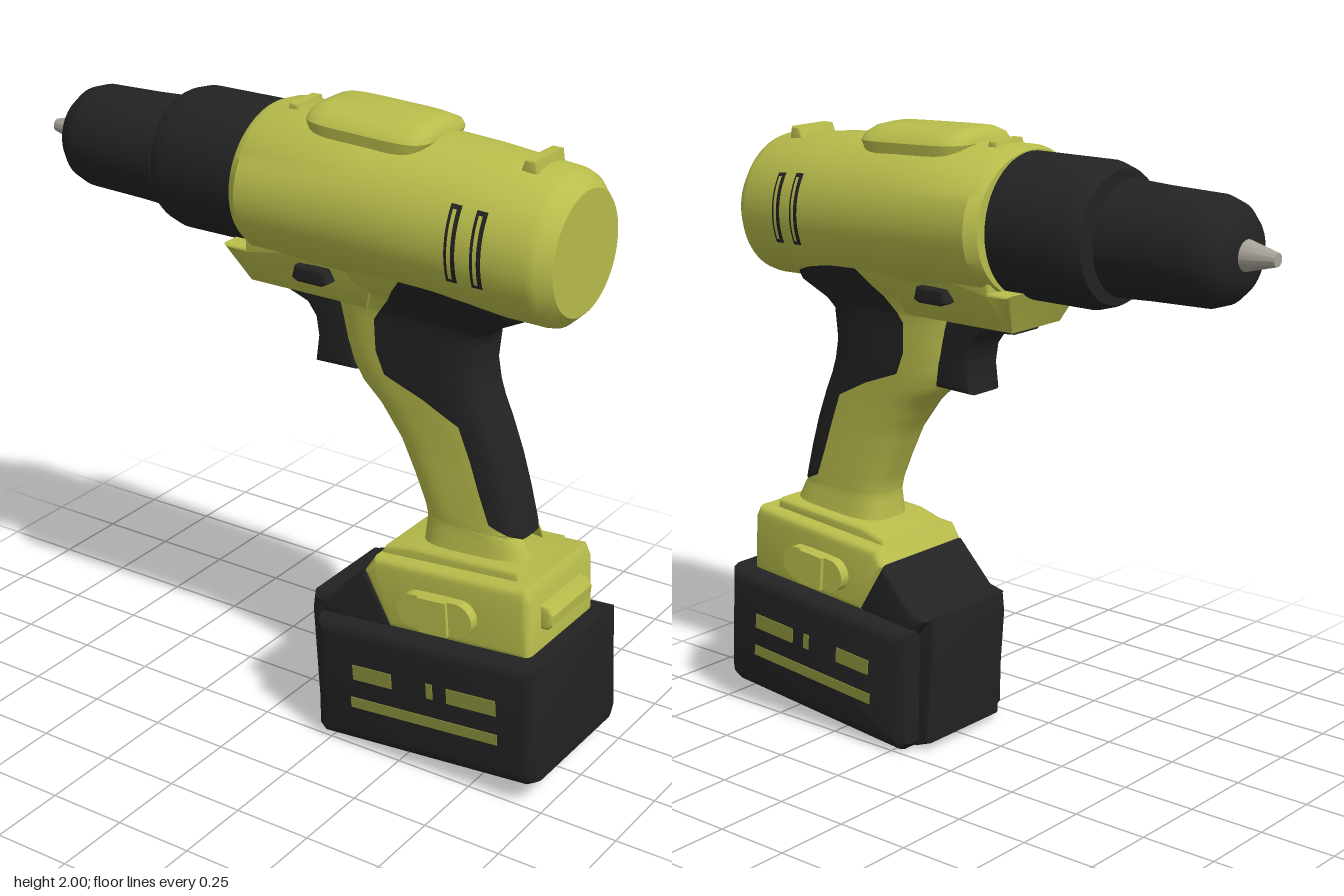
import * as THREE from 'three';
import { toCreasedNormals } from 'three/addons/utils/BufferGeometryUtils.js';

const paint = (name, color) => {
  const m = new THREE.MeshStandardMaterial({ color, side: THREE.DoubleSide });
  m.name = name;
  return m;
};

export function createModel() {
  const group = new THREE.Group();
  const lime = paint('lime shell', 0xb9bd4b);
  const black = paint('black rubber', 0x232323);
  const steel = paint('steel', 0xa9a49b);
  const olive = paint('olive label', 0x8a903c);

  const add = (name, geo, mat, crease = 0.6) => {
    const mesh = new THREE.Mesh(toCreasedNormals(geo, crease), mat);
    mesh.name = name;
    group.add(mesh);
    return mesh;
  };

  // Skin over a list of equally long rows of points
  const loft = (rows) => {
    const n = rows[0].length, index = [];
    for (let i = 0; i < rows.length - 1; i++) {
      for (let j = 0; j < n - 1; j++) {
        const a = i * n + j, c = a + n;
        index.push(a, c + 1, a + 1, a, c, c + 1);
      }
    }
    const g = new THREE.BufferGeometry();
    g.setAttribute('position', new THREE.Float32BufferAttribute(rows.flat(2), 3));
    g.setIndex(index);
    g.computeVertexNormals();
    return g;
  };

  // Side profile in x, y extruded across z, with bevelled edges
  const slab = (pts, half, bevel) => new THREE.ExtrudeGeometry(
    new THREE.Shape(pts.map(p => new THREE.Vector2(p[0], p[1]))),
    { depth: 2 * (half - bevel), bevelEnabled: true, bevelSize: bevel, bevelThickness: bevel,
      bevelOffset: -bevel, bevelSegments: 3, curveSegments: 12 }
  ).translate(0, 0, bevel - half);

  // Profile of [x, radius] turned about the drill axis
  const turned = (pts) => new THREE.LatheGeometry(pts.map(p => new THREE.Vector2(p[1], p[0])), 48)
    .rotateZ(-Math.PI / 2).translate(0, 1.722, 0);

  const box = (w, h, d, x, y, z, tilt = 0) =>
    new THREE.BoxGeometry(w, h, d).rotateZ(tilt).translate(x, y, z);

  const lookUp = (table, key) => {
    let i = 0;
    while (i < table.length - 2 && key > table[i + 1][0]) i++;
    const a = table[i], b = table[i + 1];
    const t = THREE.MathUtils.clamp((key - a[0]) / (b[0] - a[0]), 0, 1);
    return a.map((v, k) => v + (b[k] - v) * t);
  };
  const power = (v, e) => Math.sign(v) * Math.abs(v) ** e;

  // Chuck, collar and drill tip
  add('drillTip', turned([[-0.99, 0], [-0.99, 0.02], [-0.89, 0.046], [-0.87, 0.046]]), steel);
  add('chuck', turned([[-0.888, 0], [-0.888, 0.08], [-0.872, 0.118], [-0.84, 0.147], [-0.79, 0.163],
    [-0.6, 0.168], [-0.48, 0.174], [-0.48, 0]]), black);
  add('spindle', turned([[-0.5, 0.05], [-0.44, 0.05]]), steel);
  add('torqueCollar', turned([[-0.455, 0], [-0.455, 0.2], [-0.44, 0.208], [-0.395, 0.221],
    [-0.1, 0.221], [-0.1, 0]]), black);

  // Motor housing: x, centre height, half height, half width
  const housing = [
    [-0.12, 1.725, 0.222, 0.255], [-0.085, 1.725, 0.234, 0.28], [0.3, 1.715, 0.24, 0.263],
    [0.6, 1.7, 0.239, 0.25], [0.86, 1.685, 0.23, 0.234], [0.885, 1.682, 0.224, 0.226],
    [0.925, 1.68, 0.185, 0.19]];
  const ring = ([x, cy, ry, rz], t0, t1, steps, grow = 0) =>
    Array.from({ length: steps + 1 }, (_, i) => {
      const t = t0 + (t1 - t0) * i / steps;
      return [x, cy + (ry + grow) * Math.sin(t), (rz + grow) * Math.cos(t)];
    });
  const hoops = housing.map(h => ring(h, 0, Math.PI * 2, 64));
  const hub = (h) => hoops[0].map(() => [h[0], h[1], 0]);
  add('motorHousing', loft([hub(housing[0]), ...hoops, hub(housing[6])]), lime);

  // Vent slots wrapped on both sides of the housing
  const vent = (x, half, a, grow, base) => loft([x - half, x + half].map(
    px => ring(lookUp(housing, px), base - a, base + a, 12, grow)));
  for (const x of [0.632, 0.712]) {
    for (const base of [0.08, Math.PI - 0.08]) {
      add('ventSlot', vent(x, 0.017, 0.48, 0.004, base), black);
      add('ventRib', vent(x, 0.006, 0.42, 0.008, base), lime);
    }
  }

  // Raised pad and small clips on top
  const oval = (y, cx, hx, hz, n, t0, t1, steps) =>
    Array.from({ length: steps + 1 }, (_, i) => {
      const t = t0 + (t1 - t0) * i / steps;
      return [cx + hx * power(Math.cos(t), 2 / n), y, hz * power(Math.sin(t), 2 / n)];
    });
  const padRows = [[-0.09, 0.19, 0.15], [-0.04, 0.21, 0.155], [-0.02, 0.205, 0.14], [0, 0.185, 0.095],
    [0.007, 0.16, 0.05], [0.007, 0, 0]].map(([y, hx, hz]) => oval(y, 0, hx, hz, 5, 0, Math.PI * 2, 48));
  add('topPad', loft(padRows).rotateZ(-0.035).translate(0.26, 1.986, 0), lime);
  add('frontClip', slab([[-0.05, 1.92], [-0.035, 1.97], [-0.005, 1.97], [0.005, 1.92]], 0.065, 0.008), lime);
  add('rearClip', slab([[0.74, 1.88], [0.765, 1.945], [0.8, 1.945], [0.81, 1.88]], 0.08, 0.008), lime);

  // Shield under the housing, narrowing downwards
  const shield = slab([[-0.19, 1.54], [-0.11, 1.54], [-0.11, 1.62], [0.36, 1.62], [0.28, 1.41],
    [-0.14, 1.41]], 0.2, 0.01);
  const sp = shield.attributes.position;
  for (let i = 0; i < sp.count; i++) {
    const k = THREE.MathUtils.clamp((sp.getY(i) - 1.41) / 0.12, 0, 1);
    sp.setZ(i, sp.getZ(i) * (0.6 + 0.36 * k));
  }
  add('lowerShield', shield, lime);
  add('directionSwitch', slab([[0.06, 1.485], [0.07, 1.525], [0.175, 1.525], [0.185, 1.485],
    [0.165, 1.475], [0.08, 1.475]], 0.195, 0.008), black);
  add('trigger', slab([[-0.1, 1.42], [0.18, 1.42], [0.21, 1.18], [0.06, 1.175], [0.07, 1.26],
    [0.06, 1.32], [0.03, 1.36], [-0.04, 1.385], [-0.1, 1.39]], 0.075, 0.02), black);

  // Grip: height, front x, rear x, half width, x where rubber starts
  const grip = [
    [0.66, 0.45, 0.86, 0.12, 0.86], [0.7, 0.455, 0.83, 0.11, 0.83], [0.77, 0.46, 0.795, 0.1, 0.79],
    [0.81, 0.45, 0.785, 0.1, 0.7], [0.9, 0.41, 0.762, 0.1, 0.665], [1, 0.36, 0.732, 0.1, 0.63],
    [1.1, 0.285, 0.693, 0.104, 0.59], [1.16, 0.22, 0.666, 0.107, 0.47], [1.21, 0.19, 0.648, 0.11, 0.335],
    [1.28, 0.165, 0.635, 0.112, 0.305], [1.38, 0.14, 0.645, 0.115, 0.3], [1.41, 0.13, 0.68, 0.118, 0.32],
    [1.46, 0.13, 0.78, 0.135, 0.36], [1.5, 0.13, 0.785, 0.165, 0.39], [1.56, 0.13, 0.76, 0.197, 0.44]];
  const gripRow = ([y, f, r, w, split], rubber) => {
    const n = 3.4, mid = (f + r) / 2, half = (r - f) / 2;
    const u = THREE.MathUtils.clamp((split - mid) / half, -1, 1);
    const t = Math.acos(power(u, n / 2));
    return rubber ? oval(y, mid, half, w, n, -t, t, 40) : oval(y, mid, half, w, n, t, Math.PI * 2 - t, 40);
  };
  const heights = [];
  for (let i = 0; i < grip.length - 1; i++) {
    for (let k = 0; k < 3; k++) heights.push(grip[i][0] + (grip[i + 1][0] - grip[i][0]) * k / 3);
  }
  heights.push(1.56);
  const gripRows = (ys, rubber) => {
    const rows = ys.map(y => gripRow(lookUp(grip, y), rubber));
    return loft([...rows, rows[0].map(() => [0.45, 1.56, 0])]);
  };
  add('gripShell', gripRows(heights, false), lime, 0.9);
  add('gripRubber', gripRows(heights.filter(y => y > 0.769), true), black, 0.9);

  // Foot of the grip
  add('footCollar', slab([[0.35, 0.63], [0.37, 0.665], [0.46, 0.69], [0.83, 0.715], [0.845, 0.67]], 0.15, 0.015), lime);
  add('foot', slab([[0.325, 0.59], [0.36, 0.645], [0.88, 0.69], [0.9, 0.65], [0.91, 0.46],
    [0.42, 0.42]], 0.2, 0.025), lime);
  add('rearLatch', slab([[0.88, 0.535], [0.88, 0.62], [0.925, 0.615], [0.942, 0.59], [0.94, 0.555],
    [0.925, 0.538]], 0.125, 0.012), lime);

  // Release buttons on both sides of the foot
  const tilt = 0.087;
  const ends = new THREE.Shape();
  ends.absarc(0.075, 0, 0.055, -Math.PI / 2, Math.PI / 2);
  ends.absarc(-0.075, 0, 0.055, Math.PI / 2, Math.PI * 1.5);
  add('releaseButtons', new THREE.ExtrudeGeometry(ends, { depth: 0.47, bevelEnabled: false })
    .translate(0, 0, -0.235).rotateZ(tilt).translate(0.602, 0.537, 0), lime);
  add('releaseGrips', box(0.1, 0.112, 0.496, 0.602, 0.537, 0, tilt), lime);

  // Battery pack with its front rail and shoulder
  add('battery', slab([[0.185, 0.41], [0.965, 0.478], [0.985, 0.13], [0.978, 0.09], [0.945, 0.07],
    [0.22, 0.005], [0.195, 0.03]], 0.262, 0.045), black);
  add('batteryShoulder', slab([[0.14, 0.45], [0.2, 0.465], [0.328, 0.597], [0.435, 0.43],
    [0.3, 0.38], [0.2, 0.38]], 0.2, 0.02), black);
  add('batteryRail', slab([[0.125, 0.39], [0.132, 0.455], [0.2, 0.465], [0.3, 0.4], [0.3, 0.02],
    [0.215, 0.002], [0.155, 0.025]], 0.18, 0.015), black);

  // Plain label bars on both battery sides
  for (const z of [0.262, -0.262]) {
    for (const [x, y, w, h] of [[0.405, 0.275, 0.14, 0.05], [0.61, 0.293, 0.022, 0.05],
      [0.755, 0.305, 0.17, 0.05], [0.59, 0.185, 0.52, 0.035]]) {
      add('labelBar', box(w, h, 0.006, x, y, z, tilt), olive);
    }
  }
  return group;
}
